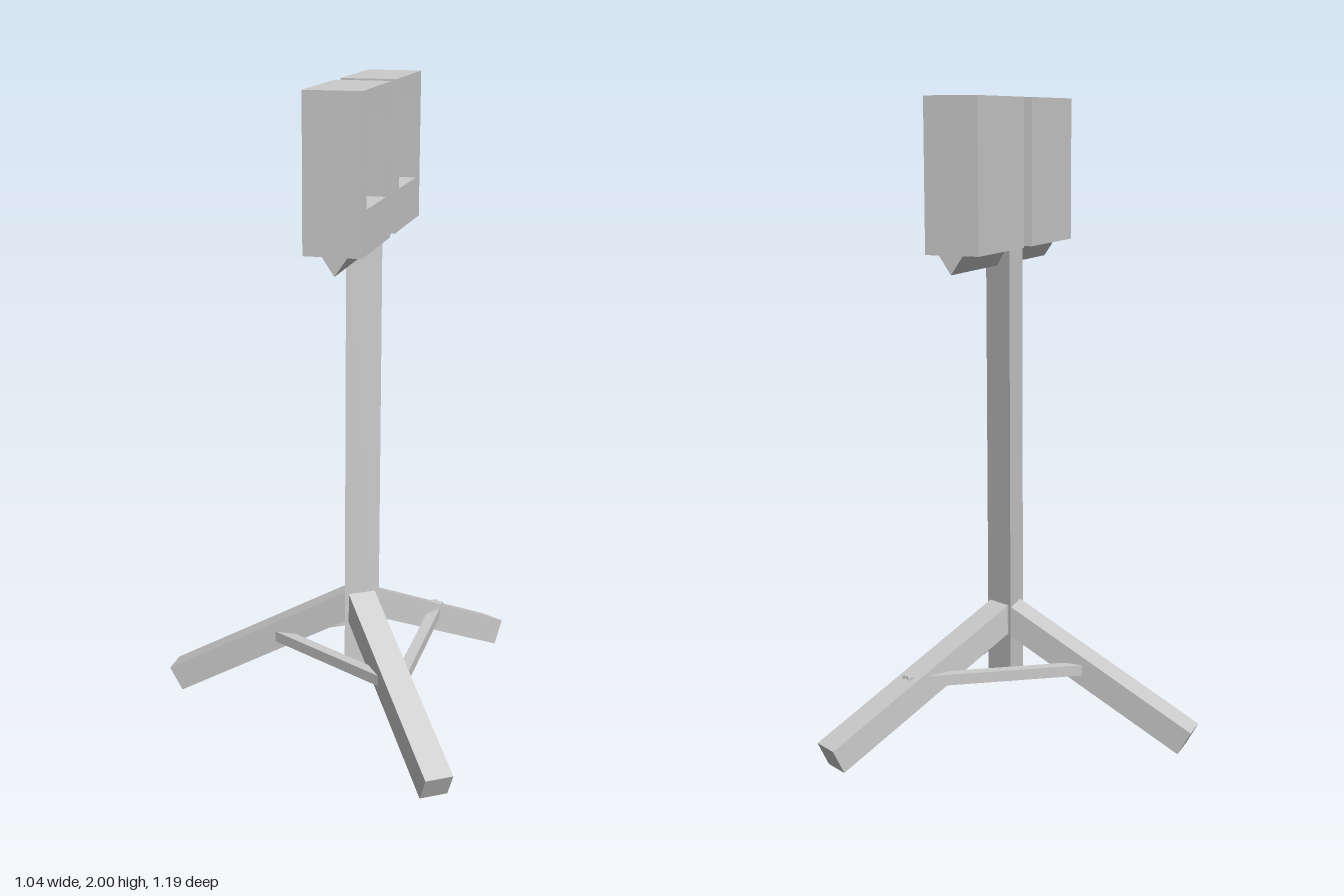
import * as THREE from 'three';

const grey = new THREE.MeshStandardMaterial({ color: 0xcccccc, flatShading: true });
const black = new THREE.MeshStandardMaterial({ color: 0x0a0a0a });

function add(parent, name, geometry, material = grey) {
  const mesh = new THREE.Mesh(geometry, material);
  mesh.name = name;
  parent.add(mesh);
  return mesh;
}

const polygon = (points) => new THREE.Shape(points.map(([x, y]) => new THREE.Vector2(x, y)));
const rect = (w, x0, x1, y0, y1) => [[x0, y0], [x1, y0], [x1, y1], [x0, y1]];
const extrude = (shape, depth) => new THREE.ExtrudeGeometry(shape, { depth, bevelEnabled: false });

// Square bar from a to b; drop lowers it below the line a-b
function strut(parent, name, a, b, width, height, drop = 0) {
  const from = new THREE.Vector3(...a), to = new THREE.Vector3(...b);
  const geometry = new THREE.BoxGeometry(width, height, from.distanceTo(to));
  geometry.translate(0, -drop, 0);
  const mesh = add(parent, name, geometry);
  mesh.position.copy(from).lerp(to, 0.5);
  mesh.lookAt(to);
}

// Display box: solid back, framed recess and dark screen, facing +x
function displayBox(zCentre) {
  const group = new THREE.Group();
  group.name = 'displayBox';
  const w = 0.344, h = 0.45, back = 0.038, recess = 0.141, front = 0.206;

  const rear = new THREE.BoxGeometry(recess - back, h, w);
  rear.translate((recess + back) / 2, h / 2, 0);
  add(group, 'caseBack', rear);

  const outline = polygon(rect(0, -w / 2, w / 2, 0, h));
  outline.holes.push(polygon(rect(0, -0.121, 0.119, 0.127, 0.381)));
  const frame = extrude(outline, front - recess);
  frame.rotateY(Math.PI / 2);
  frame.translate(recess, 0, 0);
  add(group, 'caseFrame', frame);

  const screen = new THREE.BoxGeometry(0.004, 0.254, 0.24);
  screen.translate(recess, 0.254, 0.001);
  add(group, 'screen', screen, black);

  group.position.set(0, 1.55, zCentre);
  return group;
}

export function createModel() {
  const model = new THREE.Group();
  model.name = 'displayStand';

  // Three-sided post, slightly turned
  const post = extrude(polygon([[0.08, -0.09], [0.174, -0.024], [0.075, 0.027]]), 1.4);
  post.rotateX(-Math.PI / 2);
  post.translate(0, 0.165, 0);
  add(model, 'post', post);

  // Three-sided crossbar under the boxes
  const crossbar = extrude(polygon([[0.078, 1.566], [0.126, 1.494], [0.175, 1.566]]), 0.737);
  crossbar.translate(0, 0, -0.34);
  add(model, 'crossbar', crossbar);

  for (const z of [0.237, -0.171]) model.add(displayBox(z));

  // Legs: top centre line from the post to the foot
  const legs = [
    [[0.088, 0.42, 0.021], [-0.523, 0.077, 0.021]],
    [[0.122, 0.42, 0.051], [0.483, 0.093, 0.568]],
    [[0.121, 0.42, 0.005], [0.446, 0.097, -0.575]],
  ];
  for (const [top, foot] of legs) strut(model, 'leg', top, foot, 0.087, 0.085, 0.0425);

  // Braces tying the legs together
  const ties = [[-0.2, 0.234, 0.02], [0.301, 0.234, 0.307], [0.301, 0.234, -0.312]];
  ties.forEach((tie, i) => strut(model, 'brace', tie, ties[(i + 1) % 3], 0.034, 0.034));

  return model;
}
